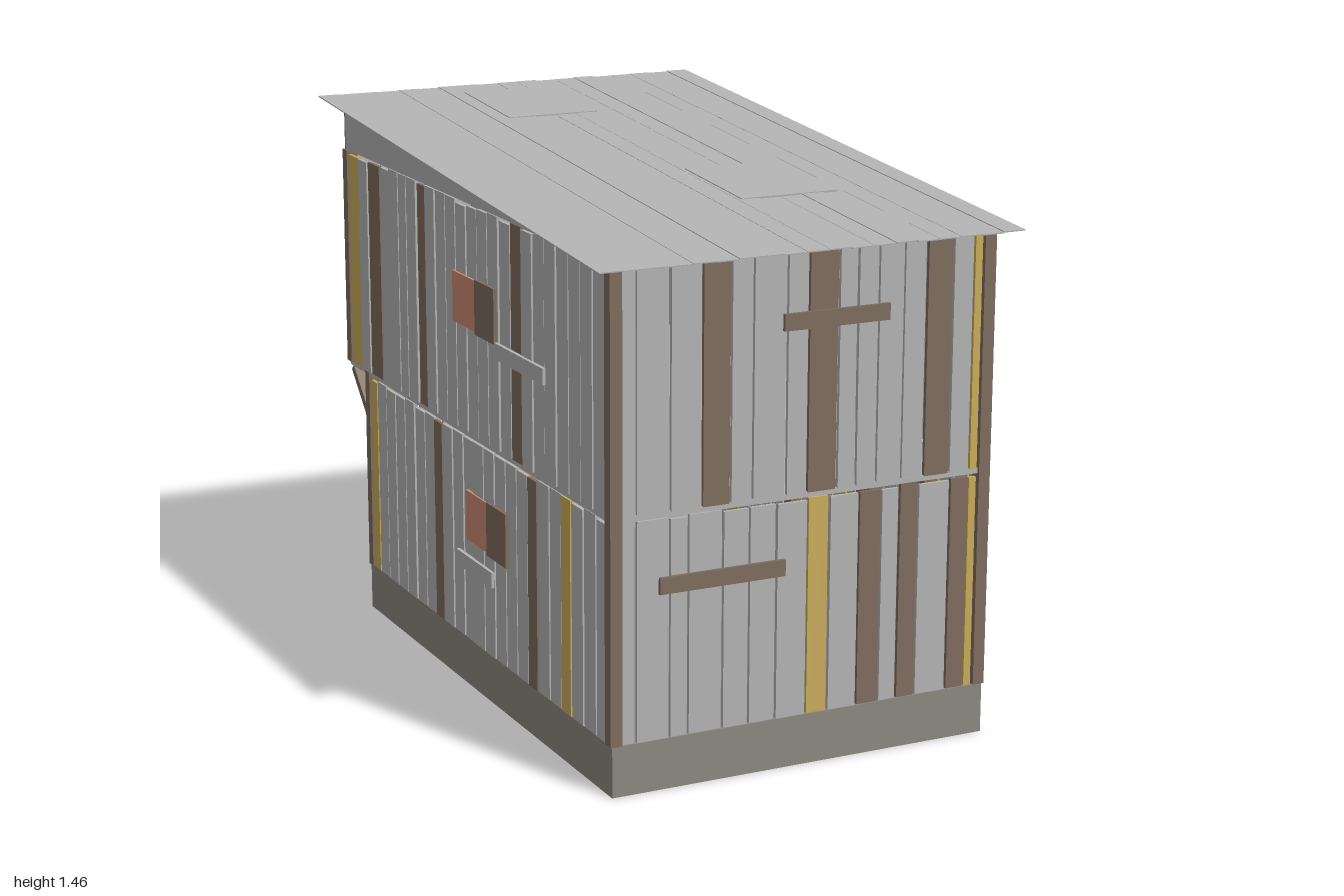
import * as THREE from 'three';

export function createModel() {
  const model = new THREE.Group();
  const mat = (name, color) => {
    const m = new THREE.MeshStandardMaterial({ color });
    m.name = name;
    return m;
  };
  const grey = mat('metal grey', 0xb3b3b3);
  const brown = mat('weathered wood', 0x7e6c5e);
  const gold = mat('ochre', 0xc8ac5c);
  const coral = mat('coral', 0xcb8a70);
  const stone = mat('concrete', 0x8c8880);
  const colours = { g: grey, b: brown, o: gold, c: coral };

  let seed = 7;
  const rand = () => (seed = (seed * 16807) % 2147483647) / 2147483647;

  // Box given by its extents along each axis
  function box(name, material, [x0, x1], [y0, y1], [z0, z1], parent = model) {
    const m = new THREE.Mesh(
      new THREE.BoxGeometry(Math.abs(x1 - x0), Math.abs(y1 - y0), Math.abs(z1 - z0)), material);
    m.position.set((x0 + x1) / 2, (y0 + y1) / 2, (z0 + z1) / 2);
    m.name = name;
    parent.add(m);
    return m;
  }

  // Board lying on a wall: u runs along the wall, at is the outer face, dir points outward
  function board(name, material, wall, u, y, proud, depth, parent = model) {
    const out = wall.at + wall.dir * proud;
    const d = [out - wall.dir * depth, out];
    if (wall.axis === 'x') box(name, material, u, y, d, parent);
    else box(name, material, d, y, u, parent);
  }

  // Row of planks between the cuts, one colour letter for each
  function planks(name, wall, y, cuts, letters) {
    const g = new THREE.Group();
    g.name = name;
    [...letters].forEach((c, i) => {
      const u = [cuts[i] + 0.003, cuts[i + 1] - 0.003];
      const top = y[1] - rand() * 0.012;
      board('plank', colours[c], wall, u, [y[0], top], -0.002 - rand() * 0.004, 0.01, g);
    });
    model.add(g);
  }

  const front = { axis: 'x', at: 0.95, dir: 1 };
  const backLow = { axis: 'x', at: -0.66, dir: -1 };
  const backHigh = { axis: 'x', at: -0.8, dir: -1 };
  const left = { axis: 'z', at: 0.525, dir: 1 };
  const right = { axis: 'z', at: -0.525, dir: -1 };
  const low = [0.13, 0.69], high = [0.7, 1.31];

  // Plinth and upper floor
  box('plinth', stone, [-0.52, 0.52], [0, 0.13], [-0.66, 0.95]);
  box('upperFloor', grey, [-0.518, 0.518], [0.688, 0.702], [-0.795, 0.945]);

  // Front walls
  planks('frontLowerWall', front, low,
    [-0.495, -0.455, -0.365, -0.315, -0.222, -0.15, -0.076, 0.01, 0.07, 0.153, 0.217, 0.268, 0.322, 0.413, 0.466, 0.492],
    'ggggggg' + 'ogbgbgbo');
  planks('frontUpperWall', front, high,
    [-0.495, -0.455, -0.365, -0.28, -0.203, -0.143, -0.053, 0.006, 0.088, 0.14, 0.198, 0.27, 0.333, 0.407, 0.466, 0.492],
    'gggbgggbggggbgo');

  // Left side walls
  planks('leftLowerWall', left, low,
    [-0.59, -0.513, -0.438, -0.362, -0.298, -0.222, -0.165, -0.095, -0.048, 0.012, 0.062, 0.122, 0.188, 0.26,
      0.31, 0.39, 0.46, 0.528, 0.595, 0.667, 0.733, 0.805, 0.872, 0.92],
    'ggoggggbogggoobgggboggo');
  planks('leftUpperWall', left, high,
    [-0.77, -0.703, -0.648, -0.58, -0.483, -0.398, -0.362, -0.308, -0.245, -0.18, -0.085, 0.012, 0.09, 0.15,
      0.207, 0.272, 0.333, 0.397, 0.462, 0.53, 0.58, 0.66, 0.733, 0.805, 0.853, 0.92],
    'oogogggggggggg' + 'bggggbgogbg');

  // Right side walls
  planks('rightLowerWall', right, low,
    [-0.63, -0.58, -0.51, -0.44, -0.37, -0.3, -0.23, -0.16, -0.1, -0.03, 0.04, 0.11, 0.18, 0.25, 0.32, 0.39,
      0.46, 0.52, 0.59, 0.66, 0.72, 0.79, 0.86, 0.92],
    'ogggggg' + 'bggggggggbggoggg');
  planks('rightUpperWall', right, high,
    [-0.77, -0.69, -0.62, -0.53, -0.46, -0.39, -0.33, -0.26, -0.2, -0.13, -0.06, 0.01, 0.08, 0.15, 0.22, 0.29,
      0.36, 0.43, 0.5, 0.57, 0.64, 0.71, 0.78, 0.85, 0.92],
    'ogbggggbggggggggbggggggg');

  // Back walls, with the doorway left open below
  planks('backLowerWallRight', backLow, low, [-0.495, -0.44, -0.37, -0.3, -0.235, -0.165, -0.08], 'ogggog');
  planks('backLowerWallLeft', backLow, low, [0.08, 0.14, 0.21, 0.28, 0.35, 0.42, 0.495], 'gggggg');
  box('doorLintel', grey, [-0.08, 0.08], [0.58, 0.69], [-0.655, -0.645]);
  planks('backUpperWall', backHigh, high,
    [-0.495, -0.42, -0.35, -0.285, -0.215, -0.145, -0.065, 0.02, 0.08, 0.14, 0.21, 0.28, 0.35, 0.42, 0.495],
    'gggbgbgbgogggg');

  // Door with a loose metal sheet and jamb
  box('door', coral, [-0.08, 0.08], [0.13, 0.58], [-0.658, -0.648]);
  box('doorSheet', grey, [0, 0.11], [0.165, 0.61], [-0.672, -0.662]);
  box('doorJamb', brown, [0.11, 0.135], [0.13, 0.62], [-0.67, -0.66]);

  // Corner posts
  for (const s of [-1, 1]) {
    const x = [s * 0.493, s * 0.525];
    box('frontCornerPost', brown, x, [0.13, 1.31], [0.92, 0.952]);
    box('backLowerCornerPost', brown, x, [0.13, 0.7], [-0.662, s > 0 ? -0.592 : -0.632]);
    box('backUpperCornerPost', brown, x, [0.7, 1.31], [-0.802, -0.77]);

    // Brace under the overhang
    const brace = box('brace', brown, [s * 0.485, s * 0.515], [-0.011, 0.011], [-0.092, 0.092]);
    brace.position.y = 0.615;
    brace.position.z = -0.723;
    brace.rotation.x = Math.PI / 4;

    // Porch post
    box('porchPost', grey, [s * 0.318, s * 0.332], [0.09, 0.545], [-0.998, -0.98]);

    // Triangular panel under the roof
    const tri = new THREE.Shape([[0.94, 1.31], [-0.79, 1.31], [-0.79, 1.447]].map(p => new THREE.Vector2(-p[0], p[1])));
    const gable = new THREE.Mesh(new THREE.ExtrudeGeometry(tri, { depth: 0.01, bevelEnabled: false }), grey);
    gable.rotation.y = Math.PI / 2;
    gable.position.x = s * 0.515 - 0.005;
    gable.name = 'gablePanel';
    model.add(gable);
  }
  box('backFascia', brown, [-0.52, 0.52], [1.305, 1.447], [-0.795, -0.783]);

  // Shutters: coral pane, wooden cover
  function shutter(wall, y, a, b, c) {
    board('windowPane', coral, wall, [a, b], [y - 0.067, y + 0.067], 0.002, 0.01);
    board('windowCover', brown, wall, [b, c], [y - 0.072, y + 0.072], 0.006, 0.012);
  }
  shutter(left, 1.052, 0.155, 0, -0.12);
  shutter(left, 0.477, 0.22, 0.06, -0.055);
  shutter(right, 1.052, 0, 0.155, 0.28);
  shutter(right, 0.477, 0.07, 0.215, 0.34);

  // Nailed cross boards
  [
    [front, brown, [-0.395, -0.055], 0.52],
    [front, brown, [-0.065, 0.225], 1.132],
    [left, brown, [-0.36, -0.16], 1.012],
    [left, grey, [0.385, 0.7], 0.392],
    [right, grey, [0.25, 0.58], 0.965],
    [right, grey, [0.01, 0.245], 0.345],
    [backHigh, brown, [-0.385, -0.09], 1.03],
    [backLow, grey, [-0.45, -0.12], 0.385],
  ].forEach(([wall, m, u, y]) => board('crossBoard', m, wall, u, [y - 0.021, y + 0.021], 0.006, 0.01));

  // Sloping roof of narrow sheets with two patches
  const slope = 0.145 / 1.85;
  const roof = new THREE.Group();
  roof.name = 'roof';
  roof.rotation.x = Math.atan(slope);
  roof.position.set(0, 1.3805, 0.075);
  const length = 1.85 * Math.hypot(1, slope);
  const count = 19, width = 1.15 / count;
  for (let i = 0; i < count; i++) {
    const x = -0.575 + i * width, lift = rand() * 0.003;
    box('roofSheet', grey, [x, x + width], [lift - 0.002, lift + 0.001], [-length / 2, length / 2], roof);
  }
  box('roofPatch', grey, [-0.17, 0.095], [0.001, 0.006], [-0.838, -0.517], roof);
  box('roofPatch', grey, [0.04, 0.315], [0.001, 0.006], [0.14, 0.456], roof);
  model.add(roof);

  // Porch awning
  const awning = box('awning', grey, [-0.335, 0.335], [-0.002, 0.002], [-0.17, 0.17]);
  awning.position.set(0, 0.58, -0.832);
  awning.rotation.x = -Math.atan2(0.08, 0.33);

  return model;
}
